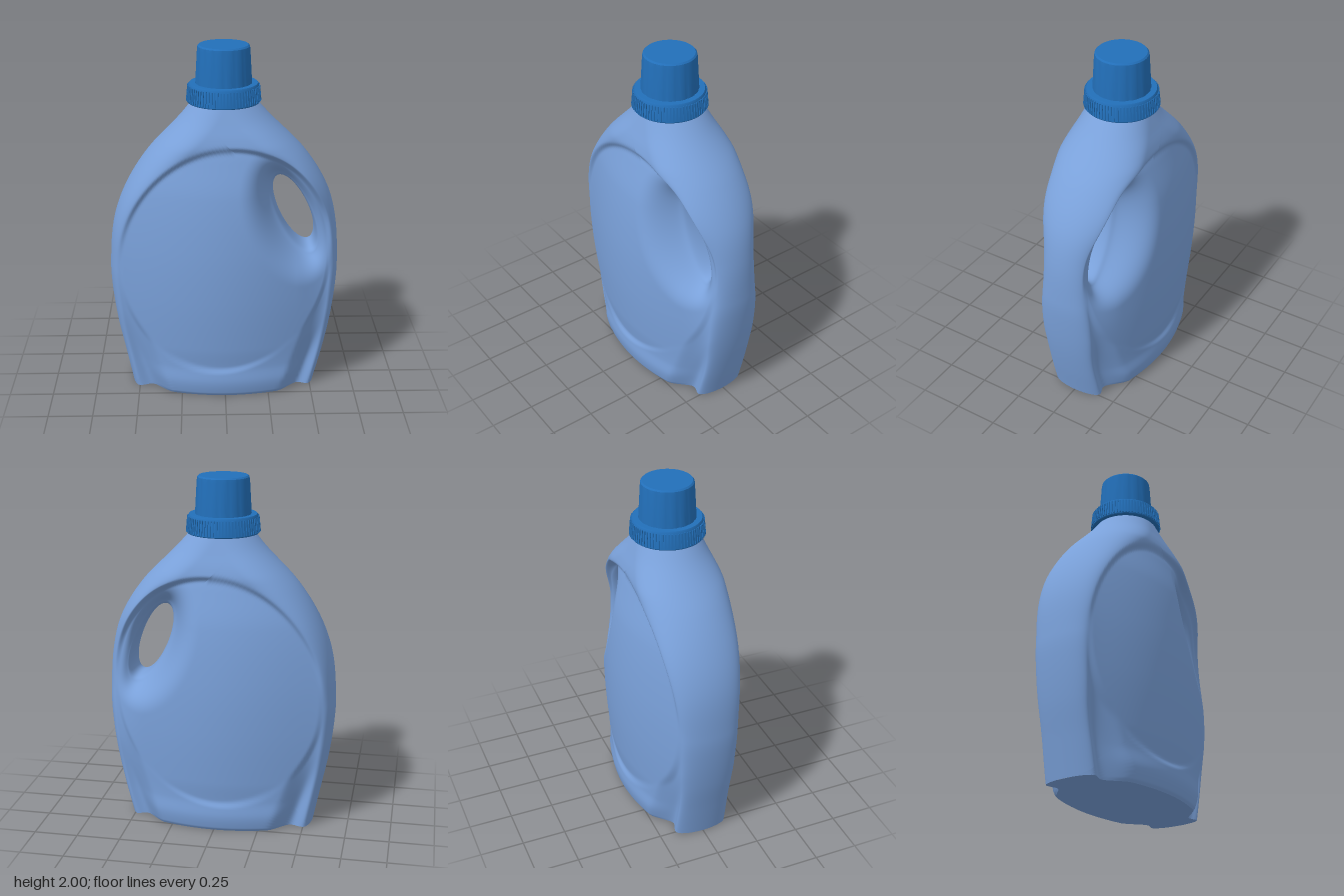
import * as THREE from 'three';
import { mergeVertices, mergeGeometries, toCreasedNormals } from 'three/addons/utils/BufferGeometryUtils.js';

const smooth = (a, b, x) => THREE.MathUtils.smoothstep(x, a, b);
const lerp = THREE.MathUtils.lerp;

// Smooth curve through [y, value] pairs
function curve(pts) {
  const slope = pts.map((p, i) => {
    const a = pts[Math.max(i - 1, 0)], b = pts[Math.min(i + 1, pts.length - 1)];
    return (b[1] - a[1]) / (b[0] - a[0]);
  });
  return (y) => {
    let i = 0;
    while (i < pts.length - 2 && y > pts[i + 1][0]) i++;
    const [y0, v0] = pts[i], [y1, v1] = pts[i + 1], h = y1 - y0;
    const t = THREE.MathUtils.clamp((y - y0) / h, 0, 1), t2 = t * t, t3 = t2 * t;
    return v0 * (2 * t3 - 3 * t2 + 1) + v1 * (3 * t2 - 2 * t3)
      + h * (slope[i] * (t3 - 2 * t2 + t) + slope[i + 1] * (t3 - t2));
  };
}

const TOP = 1.7;
// Outline half widths on each side
const widthL = curve([[0, 0.545], [0.2, 0.585], [0.4, 0.625], [0.6, 0.65], [0.75, 0.655], [1, 0.63], [1.2, 0.56], [1.4, 0.435], [1.6, 0.25], [TOP, 0.17]]);
const widthR = curve([[0, 0.53], [0.2, 0.58], [0.4, 0.62], [0.6, 0.645], [0.75, 0.652], [1, 0.635], [1.2, 0.58], [1.4, 0.455], [1.6, 0.26], [TOP, 0.17]]);
// Half depth of the side frame, and how far its edge rounding reaches inward
const frameDepth = curve([[0, 0.155], [0.4, 0.16], [0.75, 0.17], [1, 0.195], [1.22, 0.225], [1.46, 0.247], [1.52, 0.236], [1.6, 0.207], [TOP, 0.17]]);
const rounding = curve([[0, 0.05], [0.75, 0.06], [1, 0.08], [1.22, 0.12], [1.46, 0.2], [1.6, 0.2], [TOP, 0.17]]);
// Half depth along the middle of the bulging panel and of the foot below it
const panelDepth = curve([[0, 0.27], [0.16, 0.285], [0.3, 0.305], [0.6, 0.325], [0.9, 0.323], [1.2, 0.293], [1.4, 0.243], [1.5, 0.21]]);
const footDepth = curve([[0, 0.282], [0.02, 0.294], [0.09, 0.306], [0.18, 0.3], [0.35, 0.31], [0.6, 0.325], [0.9, 0.323]]);

// Tilted ellipse measure: 1 on the ellipse
function ellipse(cx, cy, major, minor, tilt) {
  const c = Math.cos(tilt), s = Math.sin(tilt);
  return (x, y) => Math.hypot(((x - cx) * c + (y - cy) * s) / minor, (-(x - cx) * s + (y - cy) * c) / major);
}
const HX = 0.395, HY = 1.06;
const hole = ellipse(HX, HY, 0.23, 0.083, 0.42);
const scoop = ellipse(0.345, 1.06, 0.42, 0.237, 0.4);

// Half depth of the bottle at any point of the front outline
function depth(x, y) {
  const ax = Math.abs(x);
  const fall = 0.155 * (1 - Math.pow(Math.max(0, 1 - (x / 0.61) ** 2), 1.2));
  const panel = panelDepth(y) - fall;
  // Foot with a flute at each lower corner
  const side = frameDepth(y), flute = 0.43 + 0.33 * y;
  const low = 1 - smooth(0.5, 0.9, y);
  const foot = lerp(side, footDepth(y) - fall, 1 - smooth(flute - 0.13, flute, ax))
    - 0.02 * Math.exp(-(((ax - flute) / 0.04) ** 2)) * (1 - smooth(0.15, 0.5, y));
  const frame = lerp(side, foot, low);
  const q = Math.hypot((x - 0.06 * (y - 0.8)) / 0.595, (y - 0.8) / (y > 0.8 ? 0.67 : 0.64));
  let d = lerp(panel, frame, smooth(0.965, 1.025, q));
  // Slimmer grip beside the hole
  d -= 0.05 * Math.exp(-(((y - 1) / 0.3) ** 2)) * smooth(0.4, 0.58, x);
  // Rounded outer edge
  const e = Math.max(0, x > 0 ? widthR(y) - x : widthL(y) + x);
  d *= Math.sqrt(1 - (1 - Math.min(e / rounding(y), 1)) ** 2);
  // Finger scoop sinking to the hole
  const a = Math.max(0, hole(x, y) - 1), b = 1 - scoop(x, y);
  if (b > 0) {
    const r = a / (a + b), lip = Math.min(0.11, d);
    d = lip * Math.sqrt(1 - (1 - Math.min(r / 0.3, 1)) ** 2) + (d - lip) * smooth(0.2, 1, r);
  }
  return d;
}

// Clockwise outline of the bottle
function outlinePoints() {
  const pts = [], ease = (t) => 0.5 - 0.5 * Math.cos(Math.PI * t);
  const nSide = 100, nTop = 28, nBase = 56;
  for (let i = 0; i < nSide; i++) { const y = TOP * i / nSide; pts.push([-widthL(y), y]); }
  for (let i = 0; i < nTop; i++) pts.push([lerp(-widthL(TOP), widthR(TOP), ease(i / nTop)), TOP]);
  for (let i = 0; i < nSide; i++) { const y = TOP * (1 - i / nSide); pts.push([widthR(y), y]); }
  for (let i = 0; i < nBase; i++) pts.push([lerp(widthR(0), -widthL(0), ease(i / nBase)), 0]);
  return pts;
}

// Shell: rays from the hole to the outline, front and back
function shellGeometry(outline) {
  const N = outline.length, M = 106, pos = [], idx = [];
  for (const s of [1, -1]) {
    const base = pos.length / 3;
    for (const [ox, oy] of outline) {
      const k = 1 / hole(ox, oy);
      const hx = HX + (ox - HX) * k, hy = HY + (oy - HY) * k;
      for (let j = 0; j <= M; j++) {
        const v = 0.5 - 0.5 * Math.cos(Math.PI * j / M);
        const x = lerp(hx, ox, v), y = lerp(hy, oy, v);
        pos.push(x, y, j === 0 ? 0 : s * depth(x, y));
      }
    }
    for (let i = 0; i < N; i++) {
      for (let j = 0; j < M; j++) {
        const a = base + i * (M + 1) + j, b = base + ((i + 1) % N) * (M + 1) + j;
        if (s > 0) idx.push(a, b, b + 1, a, b + 1, a + 1);
        else idx.push(a, b + 1, b, a, a + 1, b + 1);
      }
    }
  }
  let g = new THREE.BufferGeometry();
  g.setAttribute('position', new THREE.Float32BufferAttribute(pos, 3));
  g.setIndex(idx);
  g = mergeVertices(g, 1e-5);
  g.computeVertexNormals();
  return g;
}

// Flat underside following the foot
function baseGeometry(outline) {
  const edge = outline.filter((p) => p[1] === 0).map(([x]) => new THREE.Vector2(x, depth(x, 0)));
  const back = edge.slice(1, -1).reverse().map((p) => new THREE.Vector2(p.x, -p.y));
  return new THREE.ShapeGeometry(new THREE.Shape([...edge, ...back])).rotateX(Math.PI / 2);
}

const lathe = (pts, seg) => new THREE.LatheGeometry(pts.map((p) => new THREE.Vector2(...p)), seg);

export function createModel() {
  const bottleBlue = new THREE.MeshStandardMaterial({ color: 0x7aa1da });
  bottleBlue.name = 'bottleBlue';
  const capBlue = new THREE.MeshStandardMaterial({ color: 0x226fb9 });
  capBlue.name = 'capBlue';

  const model = new THREE.Group();
  model.name = 'bottle';
  const add = (name, geo, mat) => {
    const m = new THREE.Mesh(geo, mat);
    m.name = name;
    model.add(m);
    return m;
  };

  const outline = outlinePoints();
  add('body', shellGeometry(outline), bottleBlue);
  add('base', baseGeometry(outline), bottleBlue);

  // Collar with fine grip ridges
  const collar = lathe([[0, 1.685], [0.2, 1.685], [0.203, 1.69], [0.194, 1.78], [0.188, 1.79], [0.14, 1.79]], 72);
  add('collar', toCreasedNormals(collar, 0.6), capBlue).position.x = -0.004;
  const ridges = [];
  for (let i = 0; i < 72; i++) {
    const ridge = new THREE.BoxGeometry(0.008, 0.084, 0.012);
    ridge.rotateX(-0.09).translate(0, 1.735, 0.198).rotateY(i / 72 * Math.PI * 2);
    ridges.push(ridge);
  }
  add('collarRidges', mergeGeometries(ridges), capBlue).position.x = -0.004;

  // Tapered cap with shallow flutes
  const cap = lathe([[0.157, 1.785], [0.155, 1.82], [0.146, 1.975], [0.143, 1.992], [0.135, 2], [0, 2]], 96);
  const p = cap.attributes.position;
  for (let i = 0; i < p.count; i++) {
    const angle = Math.atan2(p.getZ(i), p.getX(i));
    const k = p.getY(i) < 1.98 ? 1 - 0.018 * Math.max(0, Math.cos(angle * 16)) ** 2 : 1;
    p.setX(i, p.getX(i) * k);
    p.setZ(i, p.getZ(i) * k);
  }
  add('cap', toCreasedNormals(cap, 0.6), capBlue).position.x = -0.004;
  return model;
}
